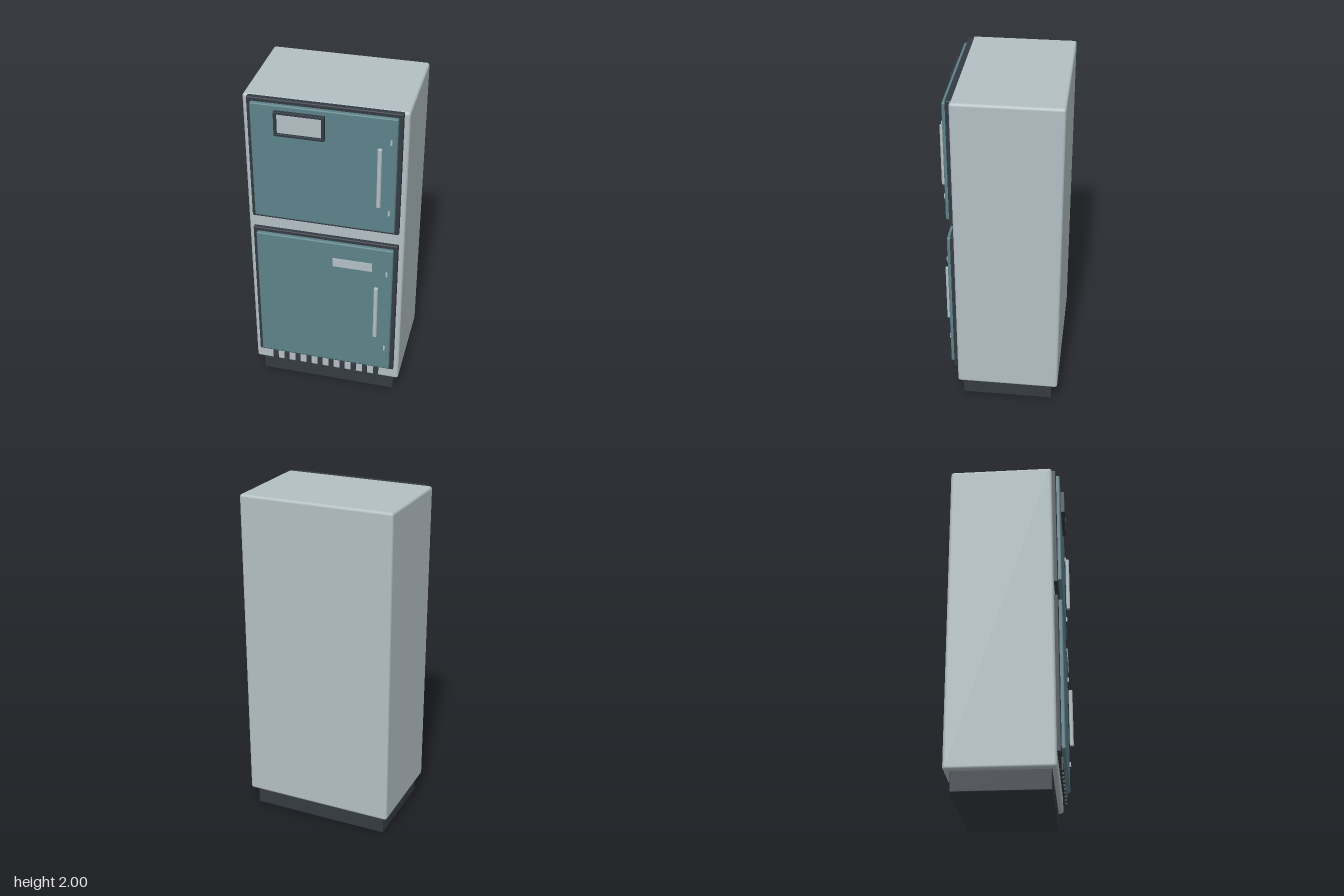
import * as THREE from 'three';
import { RoundedBoxGeometry } from 'three/addons/geometries/RoundedBoxGeometry.js';

export function createModel() {
  const model = new THREE.Group();
  model.name = 'refrigerator';

  const material = (name, color) => {
    const m = new THREE.MeshStandardMaterial({ color });
    m.name = name;
    return m;
  };
  const shell = material('paleGrey', 0xb4c0c4);
  const teal = material('teal', 0x5c8289);
  const dark = material('charcoal', 0x343b42);

  // Box given by its limits on each axis, with optional rounded edges
  const box = (name, mat, [x0, x1], [y0, y1], [z0, z1], radius = 0) => {
    const w = x1 - x0, h = y1 - y0, d = z1 - z0;
    const geometry = radius
      ? new RoundedBoxGeometry(w, h, d, 3, radius)
      : new THREE.BoxGeometry(w, h, d);
    const mesh = new THREE.Mesh(geometry, mat);
    mesh.name = name;
    mesh.position.set((x0 + x1) / 2, (y0 + y1) / 2, (z0 + z1) / 2);
    model.add(mesh);
  };

  // Upright round bar
  const bar = (name, radius, x, z, y0, y1) => {
    const mesh = new THREE.Mesh(new THREE.CylinderGeometry(radius, radius, y1 - y0, 20), shell);
    mesh.name = name;
    mesh.position.set(x, (y0 + y1) / 2, z);
    model.add(mesh);
  };

  // Cabinet and plinth
  box('cabinet', shell, [-0.457, 0.457], [0.115, 2], [-0.345, 0.265], 0.016);
  box('plinth', dark, [-0.422, 0.422], [0, 0.125], [-0.308, 0.237], 0.005);

  // Two doors, each with a seal, a handle and two small pins
  const doors = [
    { name: 'upper', seal: [1.233, 2], handle: [1.437, 1.8], pins: [1.39, 1.84] },
    { name: 'lower', seal: [0.207, 1.152], handle: [0.5, 0.863], pins: [0.4, 0.963] },
  ];
  for (const { name, seal, handle, pins } of doors) {
    box(name + 'Seal', dark, [-0.427, 0.427], seal, [0.255, 0.289], 0.006);
    box(name + 'Door', teal, [-0.404, 0.404], [seal[0] + 0.022, seal[1] - 0.022], [0.275, 0.311], 0.008);
    bar(name + 'Handle', 0.0125, 0.314, 0.329, ...handle);
    for (const y of pins) bar(name + 'HandlePin', 0.006, 0.371, 0.315, y - 0.014, y + 0.014);
  }

  // Display on the upper door: panel inside a four-bar frame
  box('displayPanel', shell, [-0.258, 0.004], [1.813, 1.942], [0.31, 0.319]);
  for (const x of [-0.267, -0.003]) {
    box('displayFrameSide', dark, [x, x + 0.015], [1.804, 1.95], [0.308, 0.334], 0.002);
  }
  for (const y of [1.804, 1.936]) {
    box('displayFrameRail', dark, [-0.256, 0.001], [y, y + 0.014], [0.308, 0.333], 0.002);
  }

  // Plate on the lower door
  box('namePlate', shell, [0.053, 0.287], [0.975, 1.031], [0.318, 0.323]);

  // Vent slats below the lower door
  for (let i = 0; i < 10; i++) {
    const x = -0.325 + i * 0.0717;
    box('ventSlat', dark, [x - 0.015, x + 0.015], [0.132, 0.207], [0.283, 0.295]);
  }
  return model;
}
